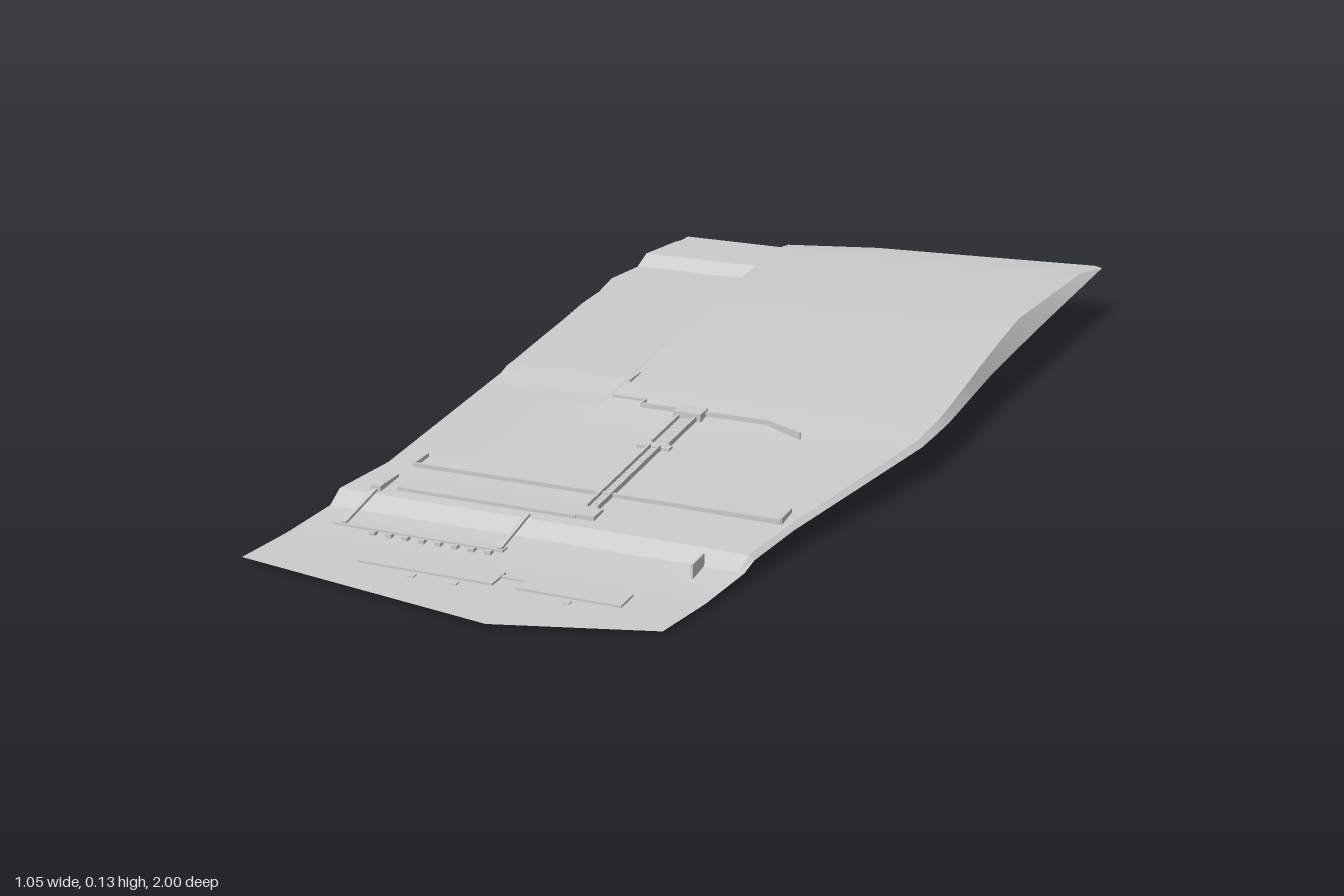
import * as THREE from 'three';
import { toCreasedNormals } from 'three/addons/utils/BufferGeometryUtils.js';

const grey = new THREE.MeshStandardMaterial({ color: 0xcccccc, side: THREE.DoubleSide });

// Piecewise linear lookup through [position, value] pairs, ascending
function lerpTable(t, p) {
  if (p <= t[0][0]) return t[0][1];
  for (let i = 1; i < t.length; i++) {
    if (p <= t[i][0]) {
      const [a, va] = t[i - 1], [b, vb] = t[i];
      return va + (vb - va) * (p - a) / (b - a);
    }
  }
  return t[t.length - 1][1];
}

// Outline and ridge lines, as functions of z
const leftEdge = [[-0.9, -0.505], [-0.72, -0.5], [-0.6, -0.517], [-0.27, -0.528], [-0.1, -0.51], [0.1, -0.495], [0.2, -0.5], [0.4, -0.49], [0.66, -0.478], [0.92, -0.505]];
const leftCrest = [[-0.91, -0.46], [-0.74, -0.492], [-0.55, -0.5], [-0.4, -0.495], [-0.2, -0.473], [0, -0.46], [0.55, -0.445], [0.65, -0.472], [0.92, -0.5]];
const rightEdge = [[-1, 0.52], [-0.6, 0.49], [-0.3, 0.466], [0, 0.46], [0.12, 0.45], [0.53, 0.345], [0.92, 0.27]];
const leftEdgeY = [[-0.9, 0.012], [-0.86, 0.02], [-0.72, 0.085], [-0.6, 0.085], [-0.27, 0.013], [0.2, 0.005], [0.45, 0.01], [0.66, 0.014], [0.8, 0.012]];
const rightEdgeY = [[-1, 0.115], [-0.6, 0.1], [-0.3, 0.084], [0.1, 0.07], [0.53, 0.043], [0.65, 0.036], [0.69, 0.02], [0.8, 0.012]];
// Ground heights: sunken terrace on one side, main slope on the other
const terraceY = [[-0.91, 0.11], [-0.74, 0.11], [-0.71, 0.086], [-0.15, 0.086], [0.03, 0.081], [0.06, 0.074], [0.53, 0.053], [0.655, 0.044], [0.685, 0.022], [0.8, 0.012]];
const mainY = [[-1, 0.118], [-0.9, 0.123], [-0.5, 0.125], [-0.15, 0.103], [0.13, 0.082], [0.17, 0.074], [0.53, 0.053], [0.655, 0.044], [0.685, 0.022], [0.8, 0.012]];
const crestY = [[-1, 0.119], [-0.9, 0.128], [-0.5, 0.135], [-0.3, 0.117], [0.1, 0.08], [0.53, 0.05], [0.655, 0.042], [0.685, 0.022], [0.8, 0.012]];
const groundY = (z) => lerpTable(mainY, z);

function surface(rows) {
  const n = rows[0].length, pos = rows.flat(2), idx = [];
  for (let i = 0; i < rows.length - 1; i++) {
    for (let j = 0; j < n - 1; j++) {
      const a = i * n + j, b = a + n;
      idx.push(a, b, a + 1, a + 1, b, b + 1);
    }
  }
  const g = new THREE.BufferGeometry();
  g.setAttribute('position', new THREE.Float32BufferAttribute(pos, 3));
  g.setIndex(idx);
  return toCreasedNormals(g, 0.35);
}

function section(z) {
  const xl = lerpTable(leftEdge, z), xc = lerpTable(leftCrest, z), xr = lerpTable(rightEdge, z);
  const ty = lerpTable(terraceY, z), my = groundY(z);
  const inset = lerpTable([[-0.97, 0.016], [-0.5, 0.022], [-0.25, 0.012], [0.9, 0.01]], z);
  const wallX = lerpTable([[-0.83, -0.203], [-0.15, -0.187], [0.9, -0.18]], z);
  const pts = [[xl, lerpTable(leftEdgeY, z)], [xc, ty], [(xc + wallX) / 2, ty], [wallX - 0.016, ty],
    [wallX, my], [0, my], [xr * 0.5, my * 0.7 + lerpTable(crestY, z) * 0.3],
    [xr - inset, lerpTable(crestY, z)], [xr, lerpTable(rightEdgeY, z)]];
  // Slanted back edge and pointed front edge
  return pts.map(([x, y]) => {
    let zz = z;
    if (z <= -0.9) {
      const back = lerpTable([[-0.505, -0.89], [-0.46, -0.912], [-0.2, -0.907], [0, -0.96], [0.52, -1]], x);
      zz = -0.86 + (back + 0.86) * (-0.86 - z) / 0.14;
    }
    if (z > 0.86) {
      const front = x < 0 ? 1 + x * 0.158 : 1 - x * 0.296;
      zz = 0.86 + (front - 0.86) * (z - 0.86) / 0.06;
    }
    return [x, y, zz];
  });
}

export function createModel() {
  const model = new THREE.Group();
  const add = (name, geometry) => {
    const m = new THREE.Mesh(geometry, grey);
    m.name = name;
    model.add(m);
    return m;
  };
  const box = (name, x0, x1, y0, y1, z0, z1) => {
    const m = add(name, new THREE.BoxGeometry(x1 - x0, y1 - y0, z1 - z0));
    m.position.set((x0 + x1) / 2, (y0 + y1) / 2, (z0 + z1) / 2);
    return m;
  };

  // Sloping ground sheet
  const zs = [-1, -0.9, -0.86, -0.8, -0.74, -0.71, -0.6, -0.5, -0.4, -0.27, -0.15, -0.13, 0, 0.03, 0.06,
    0.13, 0.17, 0.3, 0.45, 0.53, 0.655, 0.685, 0.8, 0.86, 0.92];
  const rows = zs.map(section);
  add('ground', surface(rows));

  // Bank hanging from the back corner, tapering out along the back edge
  const top = rows[0].slice(0, 6);
  const bottom = [[-0.505, 0.012, -0.89], [-0.475, 0.012, -0.927], [-0.335, 0.045, -0.937],
    [-0.219, 0.072, -0.945], [-0.203, 0.076, -0.946], [0, groundY(-1), -0.96]];
  add('backBank', surface([bottom, top]));

  // Low retaining wall across the slope with returned ends
  box('retainingWall', -0.39, 0.32, 0.046, 0.06, 0.527, 0.533);
  for (const x of [-0.39, 0.32]) box('retainingWallEnd', x - 0.003, x + 0.003, 0.046, 0.062, 0.483, 0.53);

  // Stepped wall at the head of the stairs
  const wallPath = [[-0.18, 0.0], [-0.18, 0.05], [-0.18, 0.125], [-0.11, 0.125], [-0.11, 0.148], [0.15, 0.148], [0.23, 0.188]];
  for (let i = 2; i < wallPath.length - 1; i++) {
    const [ax, az] = wallPath[i], [bx, bz] = wallPath[i + 1];
    const m = add('upperWall', new THREE.BoxGeometry(Math.hypot(bx - ax, bz - az), 0.016, 0.004));
    m.position.set((ax + bx) / 2, 0.079, (az + bz) / 2);
    m.rotation.y = -Math.atan2(bz - az, bx - ax);
  }
  box('terraceWall', -0.182, -0.176, 0.08, 0.094, 0, 0.05);

  // Stairs: top landing, short flight, middle landing, long flight
  box('topLanding', -0.032, 0.025, 0.07, 0.09, 0.138, 0.175);
  box('middleLanding', -0.043, 0.022, 0.064, 0.071, 0.302, 0.32);
  const flight = (z0, z1, count, x0, x1) => {
    const d = (z1 - z0) / count;
    for (let i = 0; i < count; i++) {
      const z = z0 + i * d, y = groundY(z + d / 2);
      box('step', x0, x1, y - 0.004, y + 0.004, z, z + d);
    }
    for (const x of [x0, x1]) {
      const ya = groundY(z0) + 0.006, yb = groundY(z1) + 0.006;
      const m = add('stairSide', new THREE.BoxGeometry(0.004, 0.01, Math.hypot(z1 - z0, ya - yb)));
      m.position.set(x, (ya + yb) / 2, (z0 + z1) / 2);
      m.rotation.x = Math.atan2(ya - yb, z1 - z0);
    }
  };
  flight(0.175, 0.302, 8, -0.02, 0.014);
  flight(0.32, 0.59, 14, -0.016, 0.004);

  // Path along the lower terrace
  box('lowerPath', -0.37, -0.02, 0.044, 0.052, 0.588, 0.63);
  box('lowerLanding', -0.02, 0.015, 0.044, 0.054, 0.59, 0.628);

  // Stairs down to the lower walkway with its posts
  box('cornerBlock', -0.415, -0.395, 0.036, 0.055, 0.58, 0.645);
  for (const x of [-0.405, -0.102]) {
    const m = add('walkwayRamp', new THREE.BoxGeometry(0.008, 0.005, 0.11));
    m.position.set(x, 0.037, 0.7);
    m.rotation.x = 0.2;
  }
  box('walkway', -0.425, -0.095, 0.021, 0.025, 0.74, 0.757);
  for (let i = 0; i < 8; i++) {
    const x = -0.345 + i * 0.032;
    box('walkwayPost', x - 0.006, x + 0.006, 0.003, 0.022, 0.752, 0.764);
  }
  box('curbEnd', 0.238, 0.242, 0.018, 0.044, 0.68, 0.73);

  // Flat canopies over the forecourt, with small footings
  for (const [x0, x1] of [[-0.287, -0.037], [0.005, 0.192]]) box('canopy', x0, x1, 0.032, 0.036, 0.856, 0.905);
  box('canopyLink', -0.037, 0.005, 0.032, 0.035, 0.865, 0.873);
  for (const x of [-0.2, -0.12, 0.085]) box('footing', x - 0.006, x + 0.006, 0.003, 0.014, 0.875, 0.887);

  // Stand on y = 0
  const bounds = new THREE.Box3().setFromObject(model);
  model.position.y = -bounds.min.y;
  return model;
}
